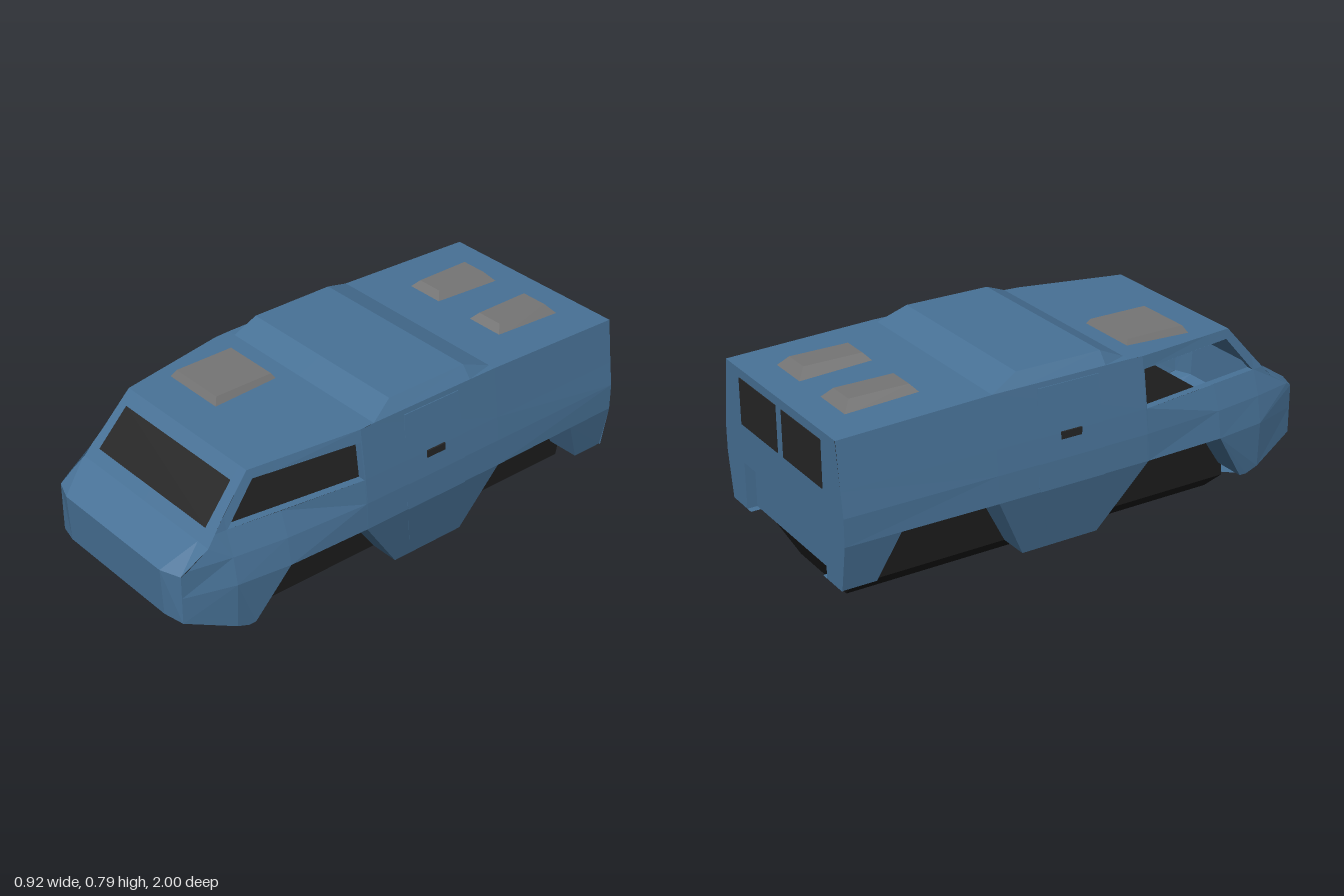
import * as THREE from 'three';

const mat = (name, color, side = THREE.FrontSide) => {
  const m = new THREE.MeshStandardMaterial({ color, side, flatShading: true });
  m.name = name;
  return m;
};

// Half width of the body sides at a grid of z stations and heights
const ZS = [-1, -0.4, 0.23, 0.57, 0.78, 0.97];
const YS = [0.09, 0.345, 0.45, 0.545, 0.74];
const WIDTH = [
  [0.40, 0.45, 0.45, 0.436, 0.41],
  [0.40, 0.457, 0.452, 0.44, 0.413],
  [0.40, 0.457, 0.452, 0.44, 0.41],
  [0.40, 0.447, 0.43, 0.395, 0.352],
  [0.41, 0.42, 0.40, 0.365, 0.32],
  [0.36, 0.36, 0.36, 0.35, 0.30],
];
function locate(list, v) {
  let i = 0;
  while (i < list.length - 2 && v > list[i + 1]) i++;
  return [i, Math.min(1, Math.max(0, (v - list[i]) / (list[i + 1] - list[i])))];
}
function halfWidth(z, y) {
  const [i, u] = locate(ZS, z), [j, v] = locate(YS, y), L = THREE.MathUtils.lerp;
  return L(L(WIDTH[i][j], WIDTH[i][j + 1], v), L(WIDTH[i + 1][j], WIDTH[i + 1][j + 1], v), u);
}

function geometryFrom(positions) {
  const g = new THREE.BufferGeometry();
  g.setAttribute('position', new THREE.Float32BufferAttribute(positions, 3));
  g.computeVertexNormals();
  return g;
}
const quad = (out, a, b, c, d) => out.push(...a, ...b, ...c, ...a, ...c, ...d);

// Keep the part of a convex polygon on one side of a line
function clip(poly, axis, limit, sign) {
  const out = [];
  poly.forEach((a, i) => {
    const b = poly[(i + 1) % poly.length];
    const da = sign * (a[axis] - limit), db = sign * (b[axis] - limit);
    if (da >= 0) out.push(a);
    if (da * db < 0) {
      const t = da / (da - db);
      out.push([a[0] + (b[0] - a[0]) * t, a[1] + (b[1] - a[1]) * t]);
    }
  });
  return out;
}

// Lay convex (z, y) panels on the body side, split along its creases
function sidePanels(panels, s, offset = 0) {
  const out = [];
  for (const panel of panels) {
    for (let i = 0; i < ZS.length - 1; i++) for (let j = 0; j < YS.length - 1; j++) {
      let p = clip(clip(panel, 0, ZS[i], 1), 0, ZS[i + 1], -1);
      p = clip(clip(p, 1, YS[j], 1), 1, YS[j + 1], -1);
      if (p.length < 3) continue;
      if (THREE.ShapeUtils.area(p.map(q => new THREE.Vector2(...q))) < 0) p.reverse();
      if (s > 0) p.reverse();
      const v = p.map(([z, y]) => [s * (halfWidth(z, y) + offset), y, z]);
      for (let k = 1; k < v.length - 1; k++) out.push(...v[0], ...v[k], ...v[k + 1]);
    }
  }
  return geometryFrom(out);
}

// Strip running inward from an outline on the body side
function sideReturn(line, s, inner, offset = 0) {
  const out = [];
  for (let i = 0; i < line.length - 1; i++) {
    const [a, b] = [line[i], line[i + 1]].map(([z, y]) => {
      const x = halfWidth(z, y) + offset;
      return [[s * x, y, z], [s * inner(x), y, z]];
    });
    if (s > 0) quad(out, a[0], a[1], b[1], b[0]);
    else quad(out, b[0], b[1], a[1], a[0]);
  }
  return geometryFrom(out);
}

// Skin through rows of points
function loft(rows, closed = false) {
  const out = [];
  for (let i = 0; i < rows.length - 1; i++) {
    const n = rows[i].length;
    for (let j = 0; j < (closed ? n : n - 1); j++) {
      const k = (j + 1) % n;
      quad(out, rows[i][j], rows[i + 1][j], rows[i + 1][k], rows[i][k]);
    }
  }
  return geometryFrom(out);
}

// Box with a smaller top
function hatchGeometry(w, h, d, bevel) {
  const g = new THREE.BoxGeometry(w, h, d).toNonIndexed(), p = g.attributes.position;
  for (let i = 0; i < p.count; i++) if (p.getY(i) > 0) {
    p.setX(i, p.getX(i) - Math.sign(p.getX(i)) * bevel);
    p.setZ(i, p.getZ(i) - Math.sign(p.getZ(i)) * bevel);
  }
  g.computeVertexNormals();
  return g;
}

export function createModel() {
  const model = new THREE.Group();
  model.name = 'armouredVehicle';
  const blue = mat('bodyBlue', 0x487297, THREE.DoubleSide);
  const grey = mat('hatchGrey', 0x757575);
  const glass = mat('darkGlass', 0x262626, THREE.DoubleSide);
  const black = mat('undersideBlack', 0x1c1c1c, THREE.DoubleSide);
  const add = (name, geometry, material, x = 0, y = 0, z = 0) => {
    const m = new THREE.Mesh(geometry, material);
    m.name = name;
    m.position.set(x, y, z);
    model.add(m);
    return m;
  };

  // Roof, windscreen frame, bonnet, nose and lower wedge
  const row = (o, i, c) => [[-o[0], o[1], o[2]], [-i[0], i[1], i[2]], c, i, o];
  const roofRow = (z, y, xi, yi = y) => row([halfWidth(z, y), y, z], [xi, yi, z], [0, yi, z]);
  add('roofAndNose', loft([
    roofRow(-1, 0.72, 0.37), roofRow(-0.4, 0.74, 0.385),
    roofRow(-0.28, 0.74, 0.375, 0.785), roofRow(0.07, 0.74, 0.375, 0.785),
    roofRow(0.17, 0.74, 0.375), roofRow(0.235, 0.738, 0.37),
    roofRow(0.67, 0.725, 0.3), roofRow(0.78, 0.598, 0.31), roofRow(0.86, 0.505, 0.31),
    row([0.36, 0.435, 0.97], [0.28, 0.435, 1], [0, 0.435, 1]),
    row([0.36, 0.24, 0.97], [0.28, 0.245, 0.99], [0, 0.245, 0.99]),
    row([0.412, 0.145, 0.73], [0.28, 0.138, 0.766], [0, 0.125, 0.84]),
    row([0.412, 0.145, 0.73], [0.28, 0.098, 0.727], [0, 0, 0.722]),
  ]), blue);

  // Body sides with window openings and wheel arches
  const panels = [
    [[-1, 0.345], [0.235, 0.345], [0.235, 0.738], [0.17, 0.74], [-0.4, 0.74], [-1, 0.72]],
    [[0.235, 0.345], [0.97, 0.345], [0.97, 0.435], [0.86, 0.505], [0.825, 0.545], [0.235, 0.545]],
    [[0.235, 0.69], [0.70, 0.69], [0.67, 0.725], [0.235, 0.738]],
    [[0.775, 0.545], [0.825, 0.545], [0.70, 0.69], [0.655, 0.69]],
    [[0.57, 0.345], [0.70, 0.145], [0.73, 0.145], [0.97, 0.24], [0.97, 0.345]],
    [[0.235, 0.345], [0.05, 0.09], [-0.27, 0.09], [-0.40, 0.345]],
    [[-0.785, 0.345], [-0.865, 0.165], [-1, 0.165], [-1, 0.345]],
  ];
  const lowerEdge = [[0.73, 0.145], [0.70, 0.145], [0.57, 0.345], [0.235, 0.345], [0.05, 0.09],
    [-0.27, 0.09], [-0.40, 0.345], [-0.785, 0.345], [-0.865, 0.165], [-1, 0.165]];
  const opening = [[0.235, 0.545], [0.235, 0.69], [0.655, 0.69], [0.775, 0.545], [0.235, 0.545]];
  const door = [[0.035, 0.72], [-0.22, 0.72], [-0.235, 0.36], [-0.18, 0.17], [0, 0.17], [0.045, 0.36]];
  for (const s of [-1, 1]) {
    const side = s > 0 ? 'left' : 'right';
    add(side + 'Side', sidePanels(panels, s), blue);
    add(side + 'WheelArches', sideReturn(lowerEdge, s, () => 0.28), blue);
    add(side + 'WindowFrame', sideReturn(opening, s, x => x - 0.03), blue);
    add(side + 'Door', sidePanels([door], s, 0.003), blue);
    add(side + 'DoorEdge', sideReturn([...door, door[0]], s, x => x - 0.003, 0.003), blue);
    add(side + 'DoorHandle', new THREE.BoxGeometry(0.008, 0.028, 0.085), glass,
      s * (halfWidth(-0.095, 0.535) + 0.004), 0.535, -0.095);
  }

  // Rear wall with a recessed lower panel
  const half = [[0.31, 0.165], [0.42, 0.165], [0.45, 0.345], [0.45, 0.45], [0.436, 0.545], [0.41, 0.72]];
  const rear = [[0.31, 0.35], ...half, ...half.map(([x, y]) => [-x, y]).reverse(), [-0.31, 0.35]];
  const rearWall = add('rearWall', new THREE.ShapeGeometry(
    new THREE.Shape(rear.map(p => new THREE.Vector2(...p)))), blue, 0, 0, -1);
  rearWall.rotation.y = Math.PI;
  const recess = z => [[-0.31, 0.165, z], [-0.31, 0.35, z], [0.31, 0.35, z], [0.31, 0.165, z]];
  add('rearRecess', loft([recess(-1), recess(-0.96)]), blue);
  add('rearPanel', new THREE.BoxGeometry(0.62, 0.185, 0.03), blue, 0, 0.2575, -0.945);

  // Rear windows and windscreen
  for (const s of [-1, 1])
    add('rearWindow', new THREE.BoxGeometry(0.285, 0.18, 0.006), glass, s * 0.165, 0.595, -1);
  const screen = (y, x) => {
    const z = 0.67 + (0.725 - y) * 0.19 / 0.22 + 0.003;
    return [[-x, y + 0.002, z], [x, y + 0.002, z]];
  };
  add('windscreen', loft([screen(0.682, 0.303), screen(0.545, 0.313)]), glass);

  // Dark tub under the body, closed by the cabin floor
  const ring = (x, y, front, back) => [[-x, y, front], [-x, y, back], [x, y, back], [x, y, front]];
  add('underTub', loft([
    ring(0, 0, 0.7, -0.8), ring(0.175, 0, 0.72, -0.86),
    ring(0.28, 0.09, 0.718, -0.9), ring(0.28, 0.35, 0.70, -0.955),
  ].reverse(), true), black);
  const floor = add('cabinFloor', new THREE.PlaneGeometry(0.72, 1.7), black, 0, 0.352, -0.08);
  floor.rotation.x = -Math.PI / 2;

  // Roof hatches
  add('frontHatch', hatchGeometry(0.27, 0.03, 0.28, 0.018), grey, -0.17, 0.742, 0.375);
  for (const s of [-1, 1])
    add('rearHatch', hatchGeometry(0.18, 0.04, 0.305, 0.036), grey, s * 0.165, 0.741, -0.728);

  return model;
}
